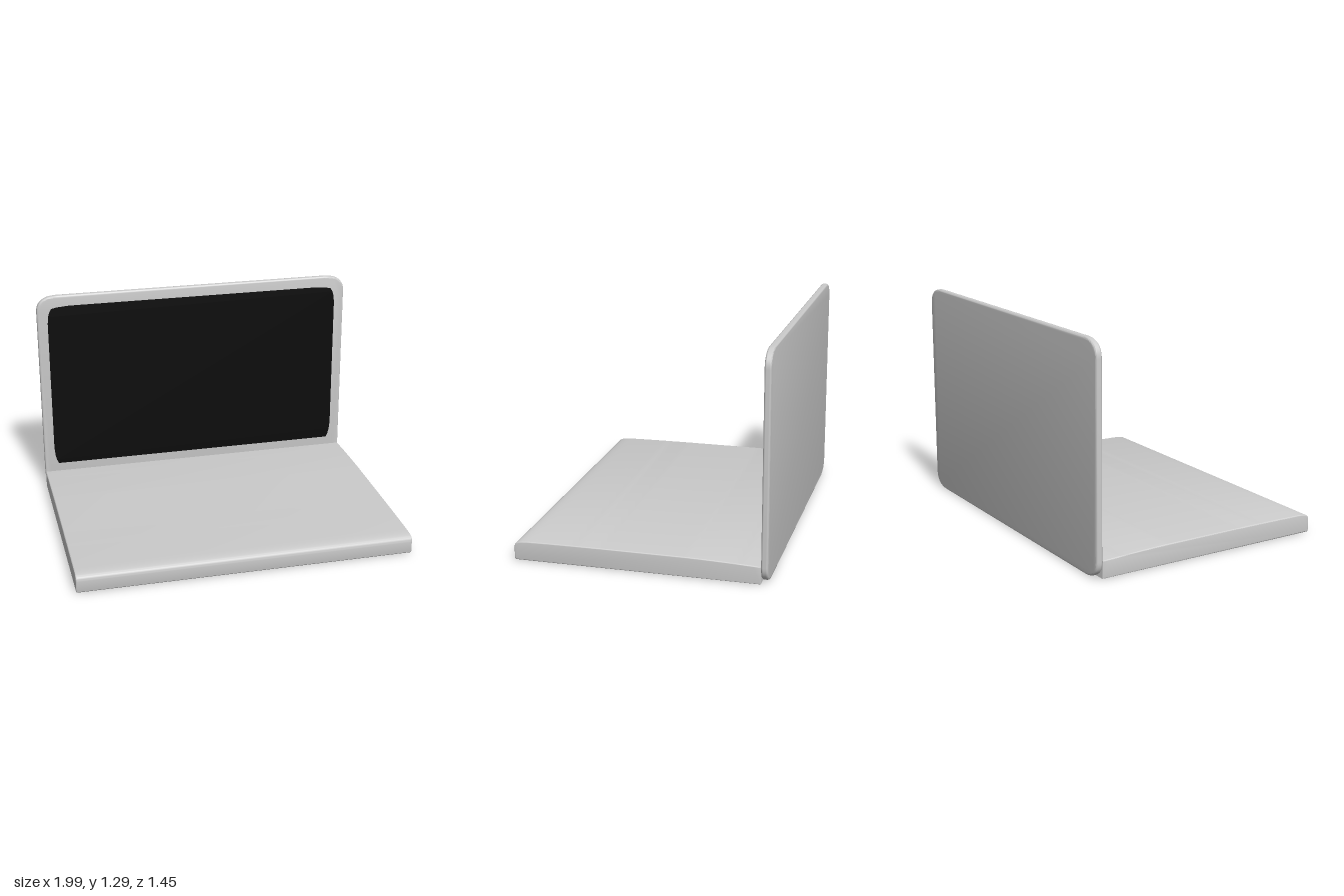
import * as THREE from 'three';
import { toCreasedNormals } from 'three/addons/utils/BufferGeometryUtils.js';

const grey = new THREE.MeshStandardMaterial({ color: 0xcccccc });
const black = new THREE.MeshStandardMaterial({ color: 0x080808, side: THREE.DoubleSide });

// Extrudes a shape to a total depth centred on z = 0, with rounded edges kept inside the outline
function slab(shape, depth, bevel) {
  const geometry = new THREE.ExtrudeGeometry(shape, {
    depth: depth - 2 * bevel, bevelThickness: bevel, bevelSize: bevel,
    bevelOffset: -bevel, bevelSegments: 3, curveSegments: 12,
  });
  geometry.translate(0, 0, bevel - depth / 2);
  return toCreasedNormals(geometry, 0.6);
}

function addMesh(parent, name, geometry, material) {
  const mesh = new THREE.Mesh(geometry, material);
  mesh.name = name;
  parent.add(mesh);
  return mesh;
}

// Side profile of the base: rounded front lip, top sloping down to the hinge
function baseProfile() {
  const s = new THREE.Shape();
  s.moveTo(-0.682, 0.004);
  s.lineTo(0.705, 0.004);
  s.quadraticCurveTo(0.716, 0.004, 0.716, 0.02);
  s.lineTo(0.716, 0.075);
  s.bezierCurveTo(0.716, 0.105, 0.70, 0.112, 0.64, 0.115);
  s.quadraticCurveTo(0.45, 0.119, 0.2, 0.119);
  s.lineTo(-0.25, 0.119);
  s.quadraticCurveTo(-0.45, 0.117, -0.682, 0.105);
  s.closePath();
  return s;
}

// Outline of the lid with soft corners
function lidOutline() {
  const w = 0.992, h = 1.286, rx = 0.13, ry = 0.1;
  const s = new THREE.Shape();
  s.moveTo(-w + rx, 0);
  s.lineTo(w - rx, 0);
  s.bezierCurveTo(w - 0.04, 0, w, 0.04, w, ry);
  s.lineTo(w, h - ry);
  s.bezierCurveTo(w, h - 0.04, w - 0.04, h, w - rx, h);
  s.lineTo(-w + rx, h);
  s.bezierCurveTo(-w + 0.04, h, -w, h - 0.04, -w, h - ry);
  s.lineTo(-w, ry);
  s.bezierCurveTo(-w, 0.04, -w + 0.04, 0, -w + rx, 0);
  return s;
}

// Outline of the display: bowed sides meeting the top and bottom at a corner
function screenOutline() {
  const right = [
    [0.903, 0.16], [0.915, 0.185], [0.923, 0.22], [0.928, 0.27],
    [0.928, 1.11], [0.924, 1.155], [0.915, 1.185], [0.903, 1.206], [0.87, 1.214], [0.79, 1.22],
  ];
  const left = right.map(([x, y]) => [-x, y]).reverse();
  return new THREE.Shape([...right, ...left].map(([x, y]) => new THREE.Vector2(x, y)));
}

export function createModel() {
  const group = new THREE.Group();
  group.name = 'laptop';

  const body = new THREE.Group();
  body.name = 'body';
  body.rotation.y = 0.009; // turned very slightly
  group.add(body);

  const base = slab(baseProfile(), 1.98, 0.006);
  base.rotateY(-Math.PI / 2);
  addMesh(body, 'base', base, grey);

  const lid = addMesh(body, 'lid', slab(lidOutline(), 0.038, 0.011), grey);
  lid.position.z = -0.7;

  const screen = addMesh(body, 'screen', new THREE.ShapeGeometry(screenOutline()), black);
  screen.position.z = -0.677;

  return group;
}
